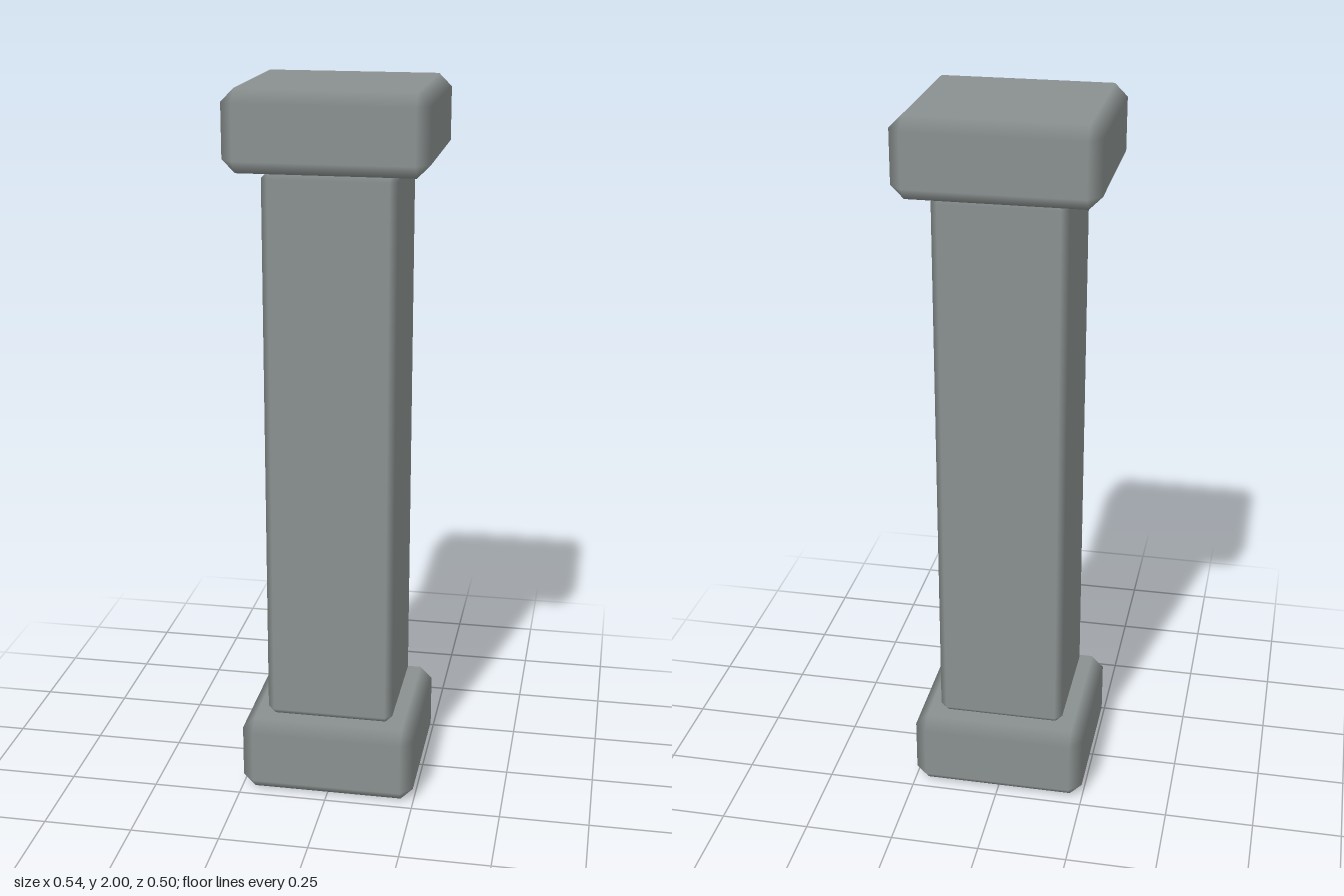
import * as THREE from 'three';

// Box with a single 45-degree chamfer on every edge, shaded smoothly across the chamfers.
function chamferBox(w, h, d, c) {
  const half = [w / 2, h / 2, d / 2];
  const positions = [], normals = [], index = [];

  // Three vertices per corner, one lying on each adjoining face.
  for (let corner = 0; corner < 8; corner++) {
    const sign = [0, 1, 2].map((a) => ((corner >> a) & 1 ? 1 : -1));
    for (let axis = 0; axis < 3; axis++) {
      for (let a = 0; a < 3; a++) {
        positions.push(sign[a] * (a === axis ? half[a] : half[a] - c));
        normals.push(a === axis ? sign[a] : 0);
      }
    }
  }
  const point = (i) => new THREE.Vector3().fromArray(positions, i * 3);

  // Adds a triangle, wound so that it faces away from the centre.
  const tri = (i, j, k) => {
    const a = point(i), b = point(j), e = point(k);
    const n = b.clone().sub(a).cross(e.clone().sub(a));
    if (n.dot(a.add(b).add(e)) > 0) index.push(i, j, k);
    else index.push(i, k, j);
  };
  const quad = (i, j, k, l) => { tri(i, j, k); tri(i, k, l); };

  for (let axis = 0; axis < 3; axis++) {
    const u = (axis + 1) % 3, v = (axis + 2) % 3;
    const U = 1 << u, V = 1 << v, A = 1 << axis;
    // The two flat faces across this axis
    for (const s of [0, A]) {
      quad(s * 3 + axis, (s + U) * 3 + axis, (s + U + V) * 3 + axis, (s + V) * 3 + axis);
    }
    // The four edge chamfers running along this axis
    for (const s of [0, U, V, U + V]) {
      quad(s * 3 + u, (s + A) * 3 + u, (s + A) * 3 + v, s * 3 + v);
    }
  }
  // Corner triangles
  for (let corner = 0; corner < 8; corner++) tri(corner * 3, corner * 3 + 1, corner * 3 + 2);

  const geometry = new THREE.BufferGeometry();
  geometry.setAttribute('position', new THREE.Float32BufferAttribute(positions, 3));
  geometry.setAttribute('normal', new THREE.Float32BufferAttribute(normals, 3));
  geometry.setIndex(index);
  return geometry;
}

export function createModel() {
  const group = new THREE.Group();
  group.name = 'pillar';
  const stone = new THREE.MeshStandardMaterial({ color: 0x8a9190 });
  stone.name = 'grey stone';

  const block = (name, w, d, bottom, top, chamfer) => {
    const mesh = new THREE.Mesh(chamferBox(w, top - bottom, d, chamfer), stone);
    mesh.name = name;
    mesh.position.y = (bottom + top) / 2;
    group.add(mesh);
  };

  block('base', 0.495, 0.475, 0, 0.22, 0.035);
  block('shaft', 0.36, 0.36, 0.22, 1.785, 0.02);
  block('capital', 0.54, 0.5, 1.785, 2, 0.035);
  return group;
}
